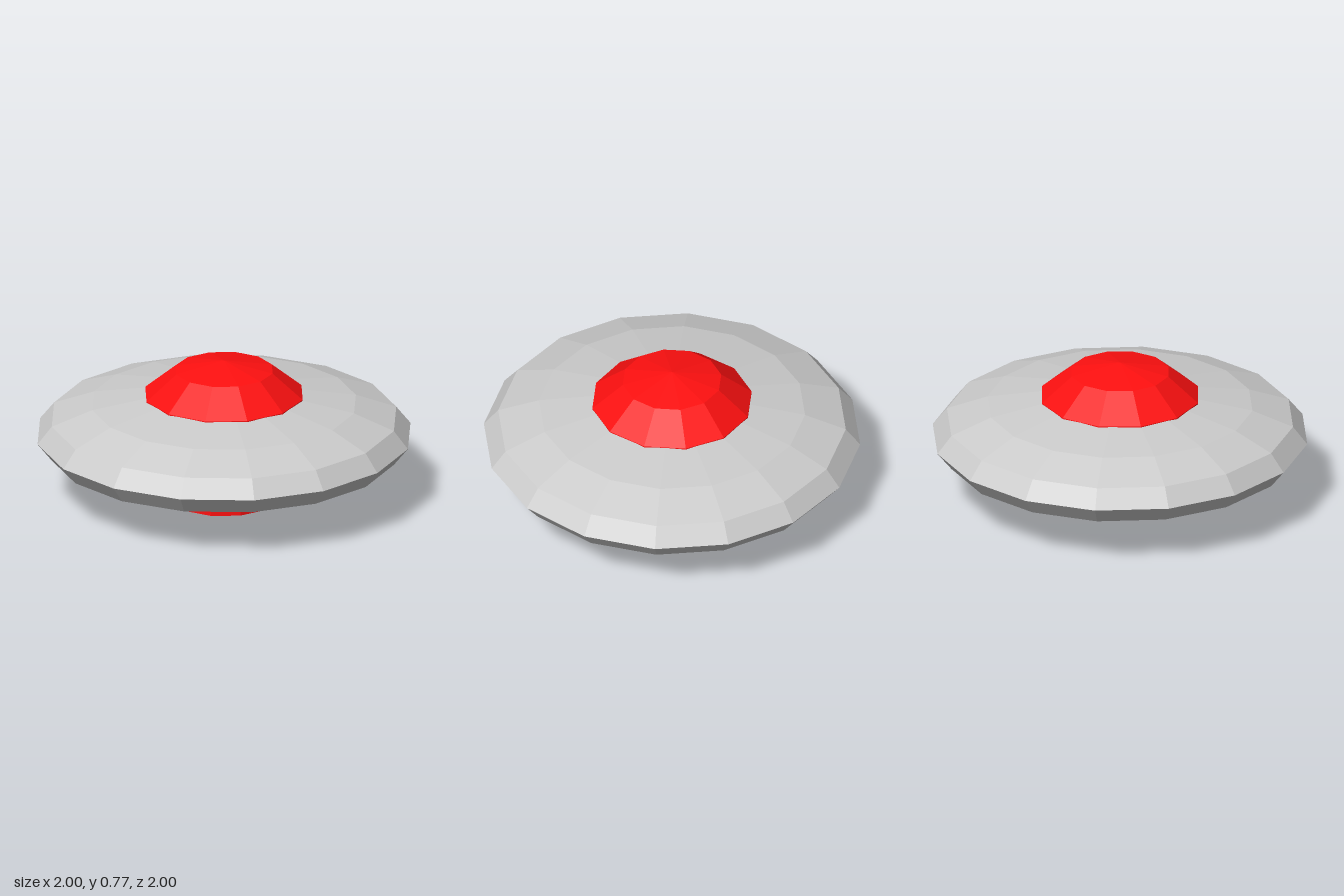
import * as THREE from 'three';

export function createModel() {
  const group = new THREE.Group();
  const grey = new THREE.MeshStandardMaterial({ color: 0xcccccc, flatShading: true });
  const red = new THREE.MeshStandardMaterial({ color: 0xff1010, flatShading: true });

  function add(name, geometry, material, y, squash = 1) {
    const mesh = new THREE.Mesh(geometry, material);
    mesh.name = name;
    mesh.position.y = y;
    mesh.scale.y = squash;
    group.add(mesh);
  }

  // Flattened saucer hull
  add('hull', new THREE.SphereGeometry(1, 16, 8), grey, 0.355, 0.25);
  // Faceted cockpit dome, its lower half sunk into the hull
  add('dome', new THREE.SphereGeometry(0.45, 12, 5), red, 0.5, 0.6);
  // Thruster disc under the hull
  add('thruster', new THREE.CylinderGeometry(0.3, 0.3, 0.1, 12), red, 0.05);

  return group;
}
